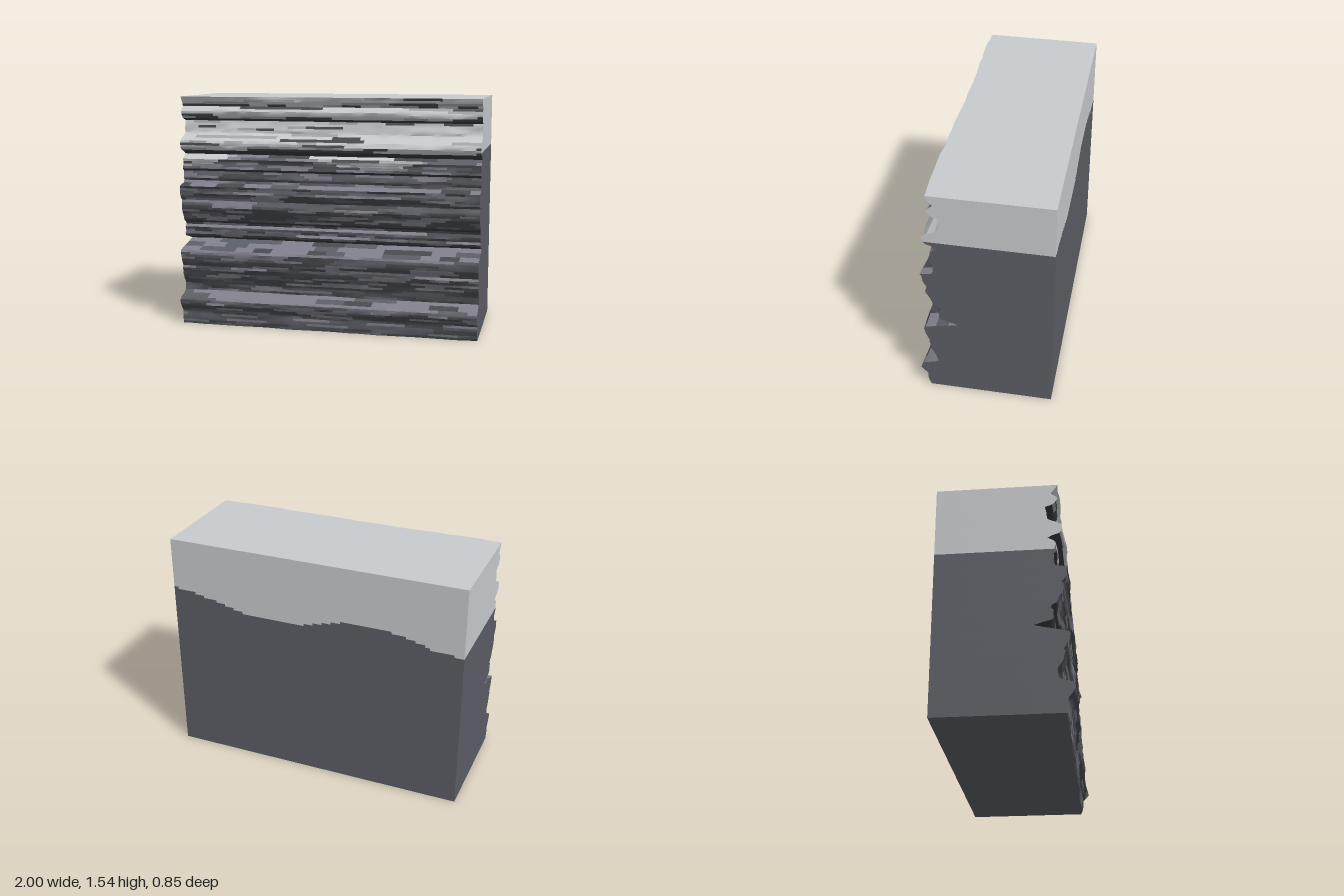
import * as THREE from 'three';
import { toCreasedNormals } from 'three/addons/utils/BufferGeometryUtils.js';

const HEIGHT = 1.54, BACK = -0.43, COLS = 64, ROWS = 96;

// Depth of the weathered face at each height: [y, z]
const PROFILE = [
  [0, .37], [.1, .38], [.15, .42], [.19, .41], [.215, .31], [.27, .315], [.36, .355], [.39, .365], [.4, .355],
  [.445, .38], [.51, .39], [.52, .36], [.56, .165], [.6, .3], [.635, .28], [.65, .305], [.67, .27], [.69, .28],
  [.7, .305], [.75, .335], [.8, .365], [.83, .36], [.845, .345], [.86, .365], [.9, .385], [.93, .375], [.945, .39],
  [.965, .295], [1, .31], [1.04, .3], [1.06, .325], [1.1, .31], [1.12, .325], [1.14, .3], [1.16, .26], [1.19, .35],
  [1.22, .365], [1.25, .355], [1.265, .33], [1.29, .27], [1.35, .26], [1.38, .255], [1.4, .305], [1.43, .32],
  [1.45, .32], [1.48, .285], [1.5, .315], [1.54, .33],
];
// Height where pale rock meets slate: [x, y]
const SEAM = [
  [-1, 1.08], [-.8, 1.09], [-.68, 1.14], [-.47, 1.17], [-.2, 1.17], [-.05, 1.13], [.13, 1.085],
  [.44, 1.085], [.67, 1.14], [.85, 1.18], [1, 1.2],
];

function sample(table, t) {
  for (let k = 1; k < table.length; k++) {
    const [a, va] = table[k - 1], [b, vb] = table[k];
    if (t <= b) return va + (vb - va) * Math.max(0, (t - a) / (b - a));
  }
  return table[table.length - 1][1];
}

// Seeded hash and smooth value noise
function hash(a, b) {
  const s = Math.sin(a * 127.1 + b * 311.7 + 5.3) * 43758.5453;
  return s - Math.floor(s);
}
function noise(x, y) {
  const i = Math.floor(x), j = Math.floor(y);
  const ease = (t) => t * t * (3 - 2 * t);
  const u = ease(x - i), v = ease(y - j), mix = THREE.MathUtils.lerp;
  return mix(mix(hash(i, j), hash(i + 1, j), u), mix(hash(i, j + 1), hash(i + 1, j + 1), u), v) - 0.5;
}

const xAt = (i) => -1 + (2 * i) / COLS;
const yAt = (j) => (HEIGHT * j) / ROWS;
function faceZ(i, j) {
  const x = xAt(i), y = yAt(j);
  return sample(PROFILE, y) + 0.016 * noise(x * 5 + 20, y * 22) + 0.008 * noise(x * 14 + 50, y * 50);
}

const PALE = 0, ASH = 1, SLATE = 2, LILAC = 3, CHARCOAL = 4, CREVICE = 5;
const rockAt = (x, y) => (y > sample(SEAM, x) ? PALE : SLATE);

// Long thin mineral patches, dark under overhangs and lighter on ledges
function faceColour(i, j) {
  const y = yAt(j + 0.5), x = xAt(i + 0.5);
  const slope = (sample(PROFILE, yAt(j + 1)) - sample(PROFILE, yAt(j))) / (HEIGHT / ROWS);
  const run = 4 + Math.floor(hash(j, 91) * 8);
  const r = hash(Math.floor((i + hash(j, 17) * run) / run), j + 200);
  if (slope > 1.2) return CREVICE;
  if (rockAt(x, y) === PALE) {
    if (r < (slope > 0.6 ? 0.5 : 0.07)) return CHARCOAL;
    return r > 0.86 ? ASH : PALE;
  }
  if (r < (slope > 0.3 ? 0.6 : 0.22)) return CHARCOAL;
  return r > (slope < -0.4 ? 0.5 : 0.76) ? LILAC : SLATE;
}

export function createModel() {
  const group = new THREE.Group();
  group.name = 'rockCliff';

  const materials = [
    ['paleRock', 0xc8cbce], ['ashRock', 0xa4a7a9], ['slateRock', 0x5c5e66],
    ['lilacRock', 0x817f8b], ['charcoalRock', 0x484a4d], ['creviceRock', 0x38393c],
  ].map(([name, color]) => {
    const m = new THREE.MeshStandardMaterial({ color });
    m.name = name;
    return m;
  });

  // Grid of quads with a colour per cell
  function sheet(name, nu, nv, point, colour) {
    const positions = [], buckets = materials.map(() => []);
    for (let j = 0; j <= nv; j++) for (let i = 0; i <= nu; i++) positions.push(...point(i, j));
    for (let j = 0; j < nv; j++) {
      for (let i = 0; i < nu; i++) {
        const a = j * (nu + 1) + i, b = a + 1, c = a + nu + 1, d = c + 1;
        buckets[colour(i, j)].push(a, b, d, a, d, c);
      }
    }
    const geometry = new THREE.BufferGeometry();
    geometry.setAttribute('position', new THREE.Float32BufferAttribute(positions, 3));
    geometry.setIndex(buckets.flat());
    let start = 0;
    buckets.forEach((bucket, m) => {
      if (bucket.length) geometry.addGroup(start, bucket.length, m);
      start += bucket.length;
    });
    const mesh = new THREE.Mesh(toCreasedNormals(geometry, 0.6), materials);
    mesh.name = name;
    group.add(mesh);
  }

  // Layered, eroded front
  sheet('weatheredFace', COLS, ROWS, (i, j) => [xAt(i), yAt(j), faceZ(i, j)], faceColour);

  // Cut sides
  sheet('leftCut', 1, ROWS, (i, j) => [1, yAt(j), i ? BACK : faceZ(COLS, j)],
    (i, j) => rockAt(1, yAt(j + 0.5)));
  sheet('rightCut', 1, ROWS, (i, j) => [-1, yAt(j), i ? faceZ(0, j) : BACK],
    (i, j) => rockAt(-1, yAt(j + 0.5)));

  // Flat back with the stepped seam
  sheet('backCut', COLS, ROWS, (i, j) => [-xAt(i), yAt(j), BACK],
    (i, j) => rockAt(-xAt(i + 0.5), yAt(j + 0.5)));

  // Top and underside
  sheet('topPlateau', COLS, 1, (i, j) => [xAt(i), HEIGHT, j ? BACK : faceZ(i, ROWS)], () => PALE);
  sheet('underside', COLS, 1, (i, j) => [xAt(i), 0, j ? faceZ(i, 0) : BACK], () => SLATE);

  return group;
}
